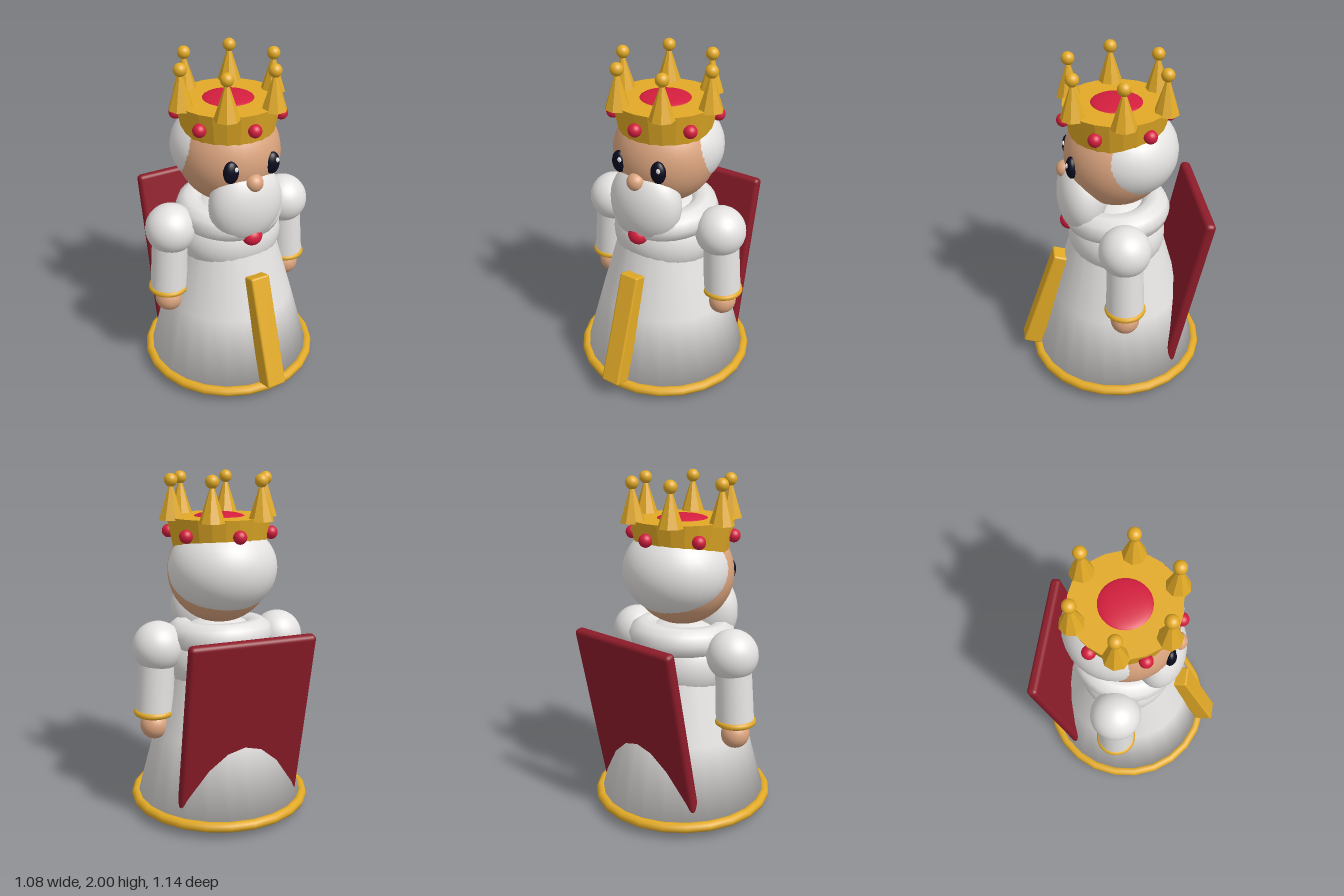
import * as THREE from 'three';
import { RoundedBoxGeometry } from 'three/addons/geometries/RoundedBoxGeometry.js';

const CZ = -0.03; // z of the figure's vertical axis

function mat(name, color, flatShading = false) {
  const m = new THREE.MeshStandardMaterial({ color, flatShading });
  m.name = name;
  return m;
}

export function createModel() {
  const root = new THREE.Group();
  root.name = 'toyKing';
  const white = mat('white', 0xe5e3e1);
  const gold = mat('gold', 0xe2aa26);
  const goldFacet = mat('goldFaceted', 0xe2aa26, true);
  const red = mat('ruby', 0xd41e3e);
  const capeRed = mat('capeRed', 0x8d1c2a);
  const skin = mat('skin', 0xdba47e);
  const dark = mat('eyeDark', 0x0a0a1e);
  const shine = mat('eyeShine', 0xffffff);

  function add(name, geometry, material, x, y, z, parent = root) {
    const m = new THREE.Mesh(geometry, material);
    m.name = name;
    m.position.set(x, y, z);
    parent.add(m);
    return m;
  }
  function ball(name, material, x, y, z, rx, ry = rx, rz = rx, parent = root) {
    const m = add(name, new THREE.SphereGeometry(1, 32, 24), material, x, y, z, parent);
    m.scale.set(rx, ry, rz);
    return m;
  }
  function ring(name, material, x, y, z, radius, tube, segments = 32) {
    const m = add(name, new THREE.TorusGeometry(radius, tube, 10, segments), material, x, y, z);
    m.rotation.x = Math.PI / 2;
    return m;
  }

  // Robe with closed underside, gold hem, front band and feet
  const robeProfile = [[0, 0.05], [0.505, 0.06], [0.388, 0.5], [0.248, 1.0]];
  const robePoints = robeProfile.map(([r, y]) => new THREE.Vector2(r, y));
  add('robe', new THREE.LatheGeometry(robePoints, 24), white, 0, 0, CZ);
  ring('hem', gold, 0, 0.073, CZ, 0.51, 0.03, 24);
  const band = add('frontBand', new RoundedBoxGeometry(0.12, 0.69, 0.115, 2, 0.012), gold, 0, 0.441, 0.408);
  band.rotation.x = -0.326;
  for (const s of [-1, 1]) {
    add('foot', new RoundedBoxGeometry(0.178, 0.1, 0.3, 2, 0.03), gold, s * 0.136, 0.055, 0.05);
  }

  // Cape leaning away at the top
  const cape = add('cape', new RoundedBoxGeometry(0.74, 1.03, 0.064, 3, 0.025), capeRed, 0, 0.64, -0.417);
  cape.rotation.x = -0.2;

  // Fur mantle, collar and brooch
  ball('mantle', white, 0, 0.925, CZ, 0.317, 0.25, 0.288);
  const collar = ring('collar', white, 0, 1.074, CZ, 0.225, 0.091);
  collar.rotation.x += 0.06;
  ball('brooch', red, 0, 1.012, 0.25, 0.06, 0.055, 0.055);

  // Arms
  for (const s of [-1, 1]) {
    ball('shoulder', white, s * 0.38, 1.027, CZ, 0.148);
    const sleeve = add('sleeve', new THREE.CylinderGeometry(0.102, 0.11, 0.39, 32), white, s * 0.396, 0.835, CZ);
    sleeve.rotation.z = s * 0.06;
    ring('cuff', gold, s * 0.41, 0.638, CZ, 0.1, 0.02);
    ball('hand', skin, s * 0.41, 0.556, CZ, 0.084);
  }

  // Head, hair and beard
  ball('head', skin, 0, 1.446, CZ, 0.3);
  ball('hair', white, 0, 1.468, -0.082, 0.315, 0.265, 0.3);
  ball('beard', white, 0, 1.195, 0.17, 0.225, 0.24, 0.15);
  ball('nose', skin, 0, 1.36, 0.264, 0.052);
  for (const s of [-1, 1]) {
    ball('eye', dark, s * 0.129, 1.44, 0.235, 0.046, 0.066, 0.034);
    ball('eyeHighlight', shine, s * 0.129 + 0.018, 1.463, 0.262, 0.013, 0.015, 0.008);
  }

  // Crown: faceted band, red dome, six points and six jewels
  const crown = new THREE.Group();
  crown.name = 'crown';
  crown.position.z = CZ;
  root.add(crown);
  add('crownBand', new THREE.CylinderGeometry(0.3, 0.263, 0.182, 24), goldFacet, 0, 1.668, 0, crown);
  ball('crownDome', red, 0, 1.751, 0, 0.15, 0.03, 0.15, crown);
  for (let i = 0; i < 6; i++) {
    const a = (i * Math.PI) / 3;
    const x = Math.cos(a) * 0.288, z = Math.sin(a) * 0.288;
    const point = add('crownPoint', new THREE.ConeGeometry(0.072, 0.225, 8), goldFacet, x, 1.858, z, crown);
    point.rotation.y = -a;
    ball('crownPearl', gold, x, 1.963, z, 0.037, 0.037, 0.037, crown);
    const b = a + Math.PI / 6;
    ball('crownJewel', red, Math.cos(b) * 0.295, 1.668, Math.sin(b) * 0.295, 0.038, 0.038, 0.038, crown);
  }
  return root;
}
